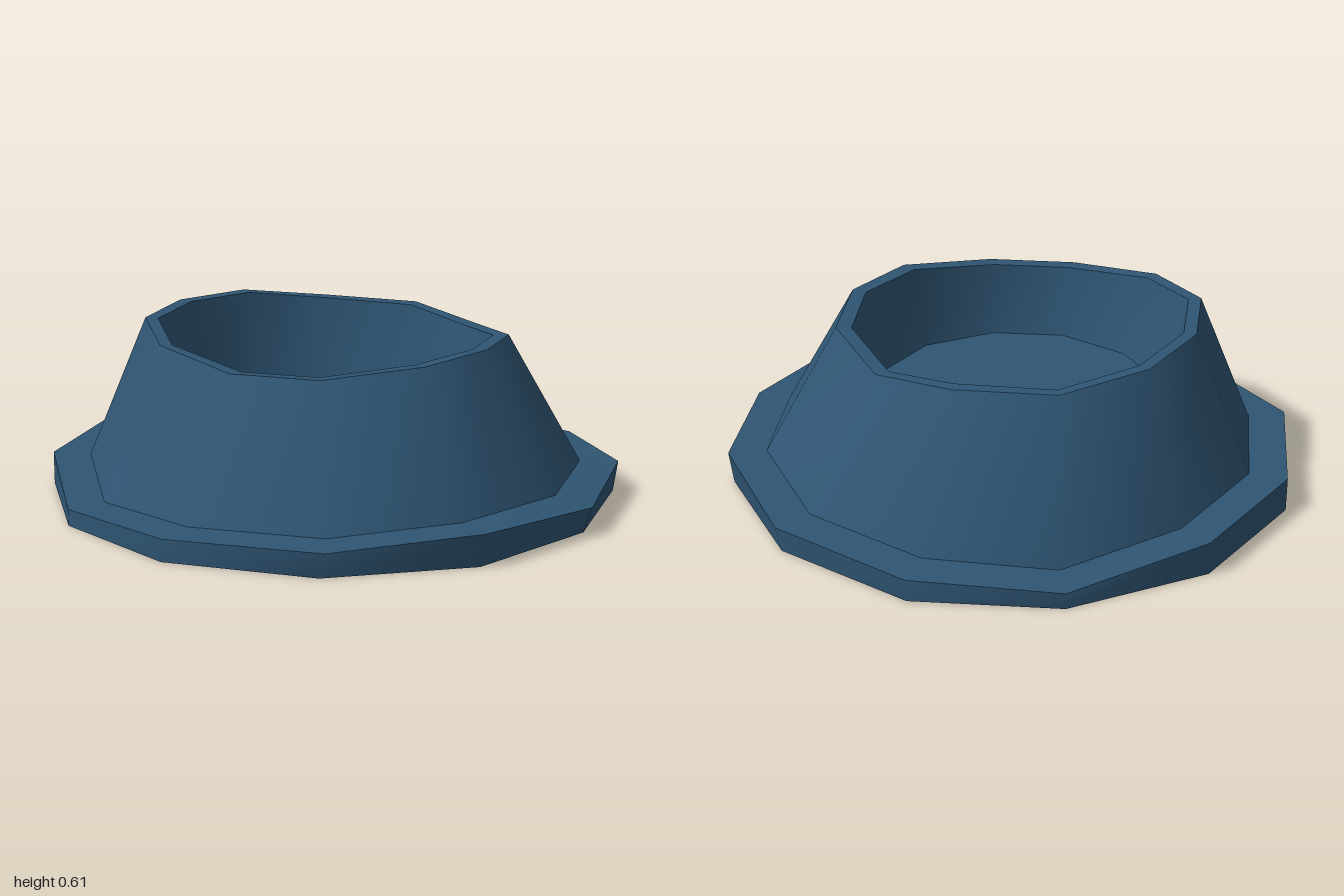
import * as THREE from 'three';

const SIDES = 12;

// Closed ring from seven [x, y, z] points on the front half, mirrored to the back.
// backY optionally overrides heights on the back half by point index.
function mirrorRing(half, backY = {}) {
  const ring = half.map(p => [...p]);
  for (let i = 5; i >= 1; i--) {
    const [x, y, z] = half[i];
    ring.push([x, backY[i] ?? y, -z]);
  }
  return ring;
}

// Closed ring band, smooth around its circumference.
function band(name, a, b, material) {
  const index = [];
  for (let i = 0; i < SIDES; i++) {
    const j = (i + 1) % SIDES;
    index.push(i, SIDES + i, j, j, SIDES + i, SIDES + j);
  }
  const geo = new THREE.BufferGeometry();
  geo.setAttribute('position', new THREE.Float32BufferAttribute([...a, ...b].flat(), 3));
  geo.setIndex(index);
  geo.computeVertexNormals();
  const mesh = new THREE.Mesh(geo, material);
  mesh.name = name;
  return mesh;
}

export function createModel() {
  const group = new THREE.Group();
  group.name = 'flaredBowl';
  const blue = new THREE.MeshStandardMaterial({ color: 0x2f5573, side: THREE.DoubleSide });
  blue.name = 'slate blue';

  // Flange: a thin open skirt with a sheet on top
  const flangeBottom = mirrorRing([
    [0.97, 0, 0], [0.85, 0, 0.49], [0.485, 0, 0.85], [-0.02, 0, 0.985],
    [-0.505, 0, 0.85], [-0.867, 0, 0.49], [-1, 0, 0],
  ]);
  const flangeTop = mirrorRing([
    [1, 0.09, 0], [0.867, 0.11, 0.49], [0.505, 0.083, 0.85], [-0.016, 0.076, 0.985],
    [-0.505, 0.056, 0.85], [-0.867, 0.115, 0.49], [-1, 0.12, 0],
  ]);
  const wallBase = mirrorRing([
    [0.865, 0.11, 0], [0.75, 0.11, 0.425], [0.435, 0.087, 0.735], [-0.014, 0.08, 0.85],
    [-0.443, 0.062, 0.735], [-0.752, 0.11, 0.425], [-0.865, 0.115, 0],
  ]);

  // Uneven rim, higher on the right
  const rimOuter = mirrorRing([
    [0.6, 0.57, 0], [0.53, 0.56, 0.29], [0.28, 0.53, 0.52], [-0.02, 0.53, 0.6],
    [-0.36, 0.568, 0.52], [-0.59, 0.6, 0.3], [-0.66, 0.605, 0],
  ], { 3: 0.565 });
  const rimInner = mirrorRing([
    [0.55, 0.567, 0], [0.48, 0.557, 0.27], [0.25, 0.528, 0.48], [-0.01, 0.528, 0.55],
    [-0.34, 0.565, 0.48], [-0.55, 0.597, 0.28], [-0.615, 0.602, 0],
  ], { 3: 0.562 });

  // Sunken floor
  const floorEdge = mirrorRing([
    [0.49, 0.27, 0], [0.43, 0.27, 0.25], [0.24, 0.27, 0.44], [-0.01, 0.27, 0.51],
    [-0.27, 0.27, 0.44], [-0.465, 0.27, 0.26], [-0.525, 0.27, 0],
  ]);
  const floorCentre = floorEdge.map(() => [-0.02, 0.27, 0]);

  group.add(
    band('flangeEdge', flangeBottom, flangeTop, blue),
    band('flangeTop', flangeTop, wallBase, blue),
    band('outerWall', wallBase, rimOuter, blue),
    band('rim', rimOuter, rimInner, blue),
    band('innerWall', rimInner, floorEdge, blue),
    band('floor', floorEdge, floorCentre, blue),
  );
  return group;
}
